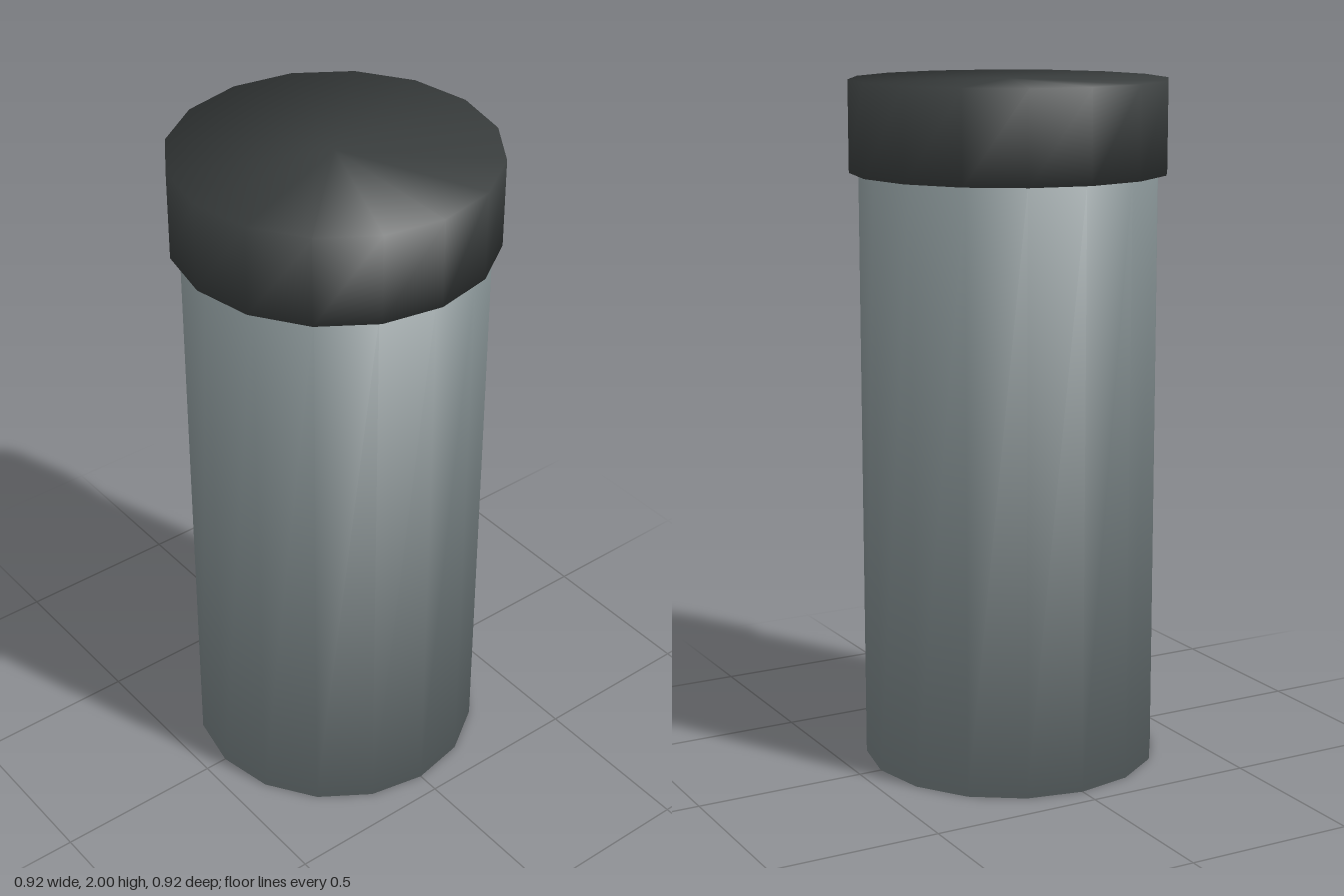
import * as THREE from 'three';

const SIDES = 16;

// Closed prism whose normals blend smoothly over the rims, from bottom to top.
function softDrum(name, radius, bottom, top, color) {
  const geometry = new THREE.CylinderGeometry(radius, radius, top - bottom, SIDES);
  const pos = geometry.attributes.position;
  const normal = geometry.attributes.normal;
  // Radial and vertical share of a rim normal; cap centres stay in line with their rim.
  const out = 0.75, up = 0.66;
  for (let i = 0; i < pos.count; i++) {
    normal.setXYZ(i,
      out * pos.getX(i) / radius,
      up * Math.sign(pos.getY(i)),
      out * pos.getZ(i) / radius);
  }
  const mesh = new THREE.Mesh(geometry, new THREE.MeshStandardMaterial({ color }));
  mesh.name = name;
  mesh.position.y = (bottom + top) / 2;
  return mesh;
}

export function createModel() {
  const group = new THREE.Group();
  group.name = 'canister';
  // Tall grey body
  group.add(softDrum('body', 0.432, 0, 1.737, 0x7a8587));
  // Dark, slightly wider lid
  group.add(softDrum('lid', 0.459, 1.737, 2, 0x393d3d));
  return group;
}
